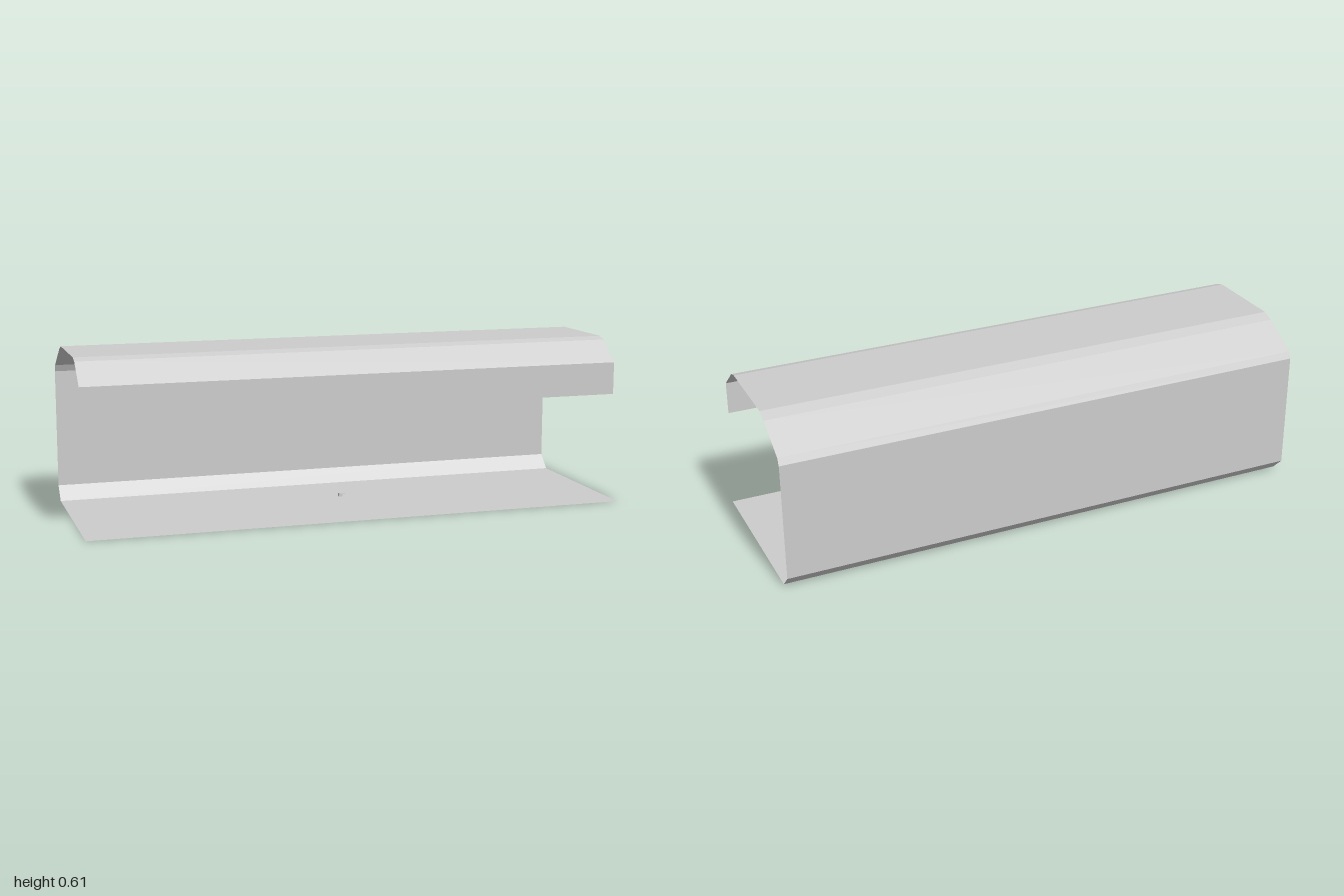
import * as THREE from 'three';

// Folded sheet cross-section as [z, y], from the front floor edge round to the front lip
const PROFILE = [
  [0.34, 0], [-0.29, 0], [-0.34, 0.05], [-0.34, 0.487], [-0.328, 0.512],
  [-0.195, 0.589], [-0.152, 0.605], [0.155, 0.605], [0.19, 0.595],
  [0.28, 0.52], [0.28, 0.4],
];

// Names of the panels between successive profile points
const NAMES = [
  'floorPanel', 'floorBevel', 'backWall', 'backBend', 'backSlope',
  'roofBackBend', 'roofPanel', 'roofFrontBend', 'frontSlope', 'frontLip',
];

export function createModel() {
  const model = new THREE.Group();
  model.name = 'foldedSheetCover';

  const sheet = new THREE.MeshStandardMaterial({
    color: 0xcccccc, flatShading: true, side: THREE.DoubleSide,
  });

  // One flat panel per fold, running the full width
  NAMES.forEach((name, i) => {
    const [z0, y0] = PROFILE[i];
    const [z1, y1] = PROFILE[i + 1];
    const dz = z1 - z0, dy = y1 - y0;
    const geometry = new THREE.PlaneGeometry(2, Math.hypot(dz, dy));
    geometry.rotateX(Math.atan2(dz, dy));
    const panel = new THREE.Mesh(geometry, sheet);
    panel.position.set(0, (y0 + y1) / 2, (z0 + z1) / 2);
    panel.name = name;
    model.add(panel);
  });

  // Tiny fitting just above the floor
  const fitting = new THREE.Group();
  fitting.name = 'fitting';
  const addBlock = (name, size, position) => {
    const block = new THREE.Mesh(new THREE.BoxGeometry(...size), sheet);
    block.name = name;
    block.position.set(...position);
    fitting.add(block);
  };
  addBlock('fittingBody', [0.014, 0.011, 0.011], [0.021, 0.013, -0.023]);
  addBlock('fittingTab', [0.02, 0.003, 0.014], [0.024, 0.018, -0.021]);
  model.add(fitting);

  return model;
}
